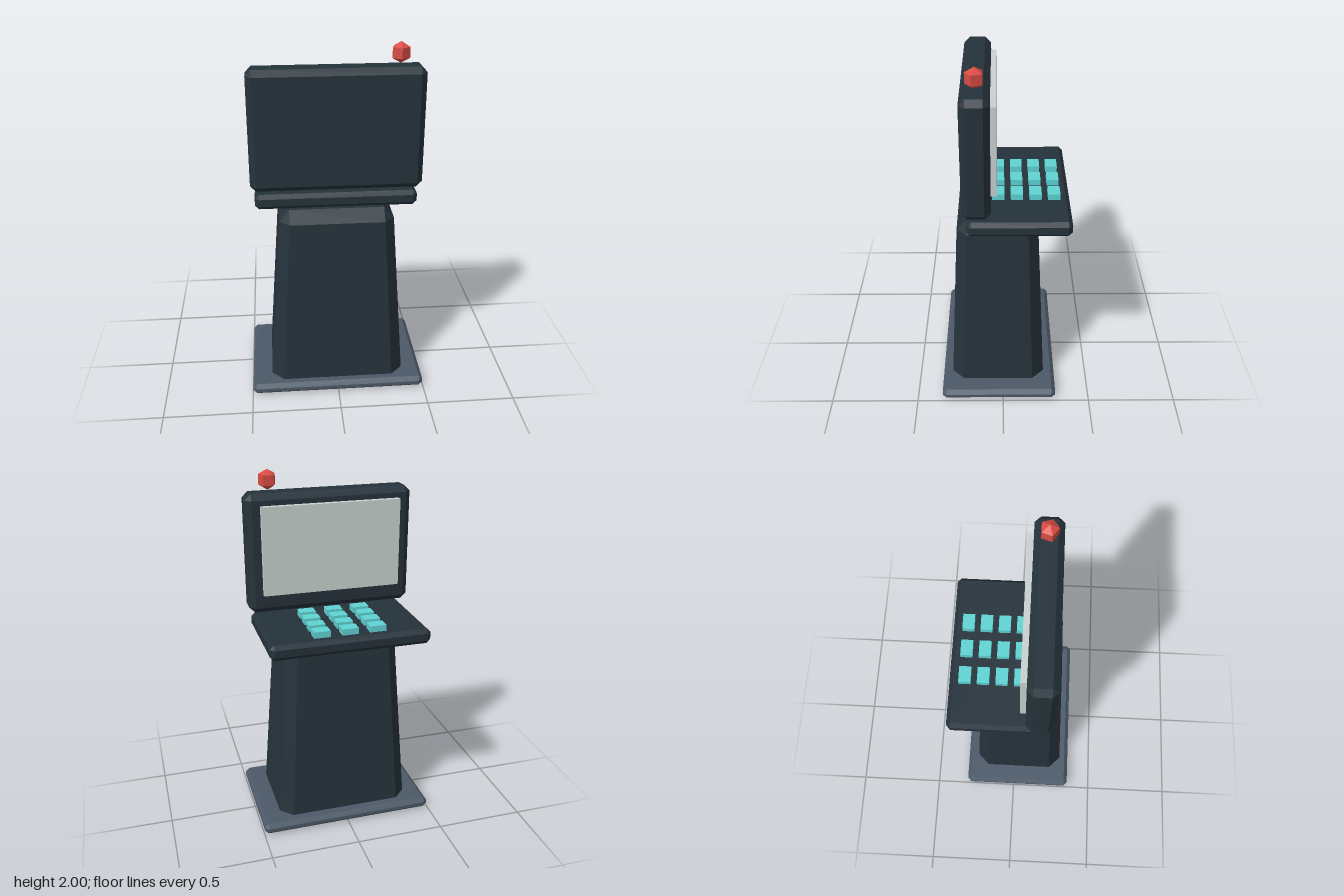
import * as THREE from 'three';
import { ConvexGeometry } from 'three/addons/geometries/ConvexGeometry.js';

const mat = (name, color) => new THREE.MeshStandardMaterial({ name, color, flatShading: true });

// Box with every edge chamfered by c, given by its min and max corners.
// taper(y) optionally scales x and z about the box's vertical axis.
function chamferBox(min, max, c, taper = () => 1) {
  const mid = min.map((v, i) => (v + max[i]) / 2);
  const half = min.map((v, i) => (max[i] - v) / 2);
  const points = [];
  for (const sx of [-1, 1]) for (const sy of [-1, 1]) for (const sz of [-1, 1]) {
    for (let axis = 0; axis < 3; axis++) {
      const [x, y, z] = [sx, sy, sz].map((s, i) => s * (half[i] - (i === axis ? 0 : c)));
      const k = taper(mid[1] + y);
      points.push(new THREE.Vector3(mid[0] + x * k, mid[1] + y, mid[2] + z * k));
    }
  }
  return new ConvexGeometry(points);
}

export function createModel() {
  const model = new THREE.Group();
  model.name = 'terminal';
  const dark = mat('dark casing', 0x25323b);
  const slate = mat('slate base', 0x4c5968);
  const pale = mat('pale screen', 0xc9d1cf);
  const teal = mat('teal keys', 0x5fd3d3);
  const red = mat('red beacon', 0xd94c43);

  const add = (name, geometry, material, parent = model) => {
    const mesh = new THREE.Mesh(geometry, material);
    mesh.name = name;
    parent.add(mesh);
    return mesh;
  };

  // Floor plate, with the pillar's foot showing through underneath
  add('basePlate', chamferBox([-0.497, 0.002, -0.305], [0.497, 0.066, 0.355], 0.022), slate);

  // Pillar narrowing towards the top
  const taper = (y) => 1 - 0.18 * THREE.MathUtils.clamp((y - 0.066) / 0.98, 0, 1);
  add('pillar', chamferBox([-0.384, 0, -0.24], [0.384, 1.112, 0.3], 0.067, taper), dark);

  // Key shelf and monitor
  add('keyShelf', chamferBox([-0.442, 1.11, -0.36], [0.442, 1.195, 0.19], 0.022), dark);
  add('monitorCase', chamferBox([-0.463, 1.22, 0.063], [0.463, 1.88, 0.213], 0.032), dark);
  add('screen', new THREE.BoxGeometry(0.775, 0.49, 0.05), pale).position.set(0, 1.575, 0.057);

  // Keypad: three columns by four rows
  const keypad = new THREE.Group();
  keypad.name = 'keypad';
  model.add(keypad);
  const keyShape = new THREE.BoxGeometry(0.09, 0.045, 0.066);
  for (let row = 0; row < 4; row++) {
    for (let col = -1; col <= 1; col++) {
      add('key', keyShape, teal, keypad).position.set(col * 0.154, 1.207, -0.275 + row * 0.1);
    }
  }

  // Five-sided beacon above the monitor
  const beacon = add('beacon', new THREE.SphereGeometry(0.055, 5, 3), red);
  beacon.rotation.y = Math.PI / 2;
  beacon.position.set(0.33, 1.945, 0.136);

  return model;
}
